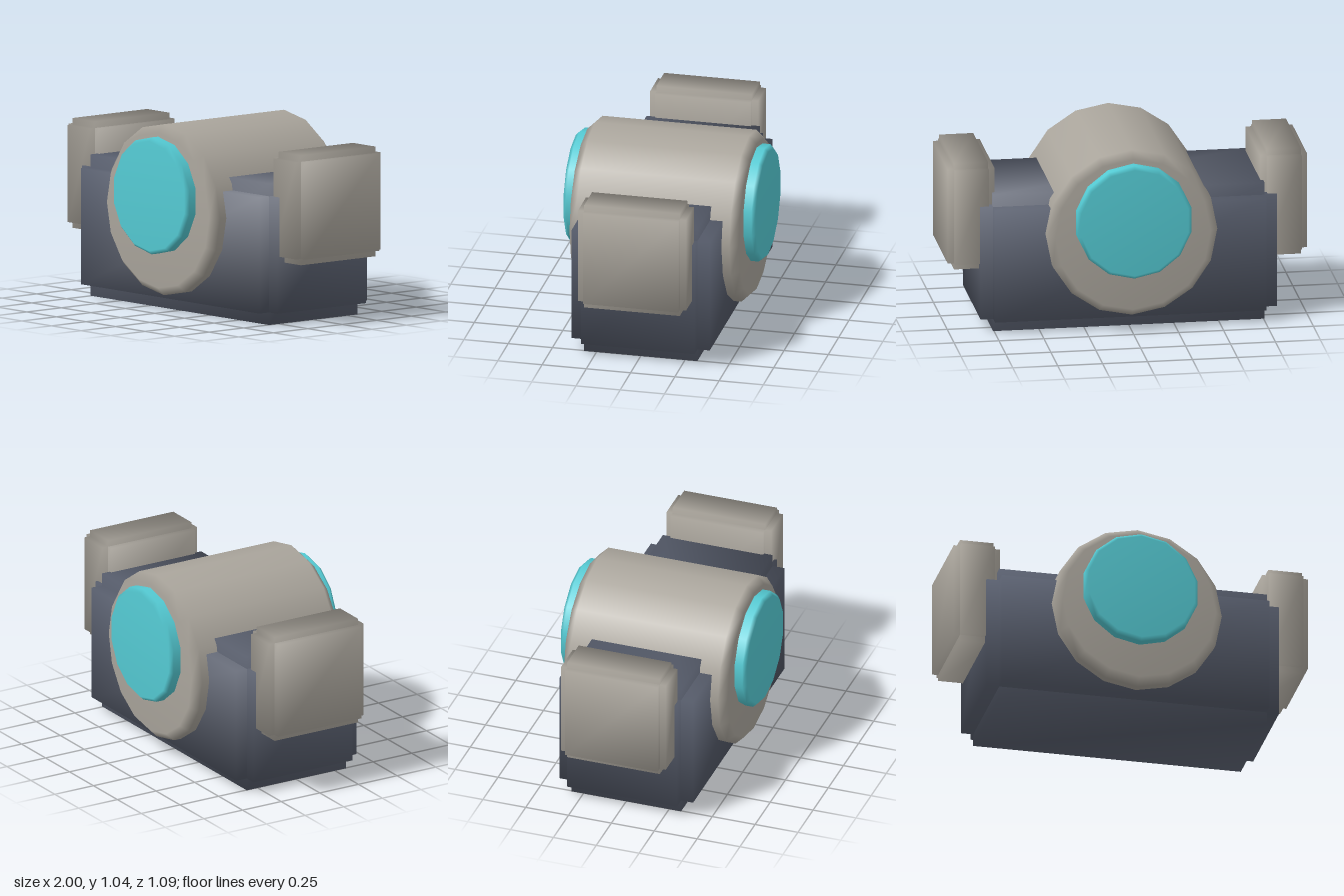
import * as THREE from 'three';
import { mergeVertices } from 'three/addons/utils/BufferGeometryUtils.js';

const gray = new THREE.MeshStandardMaterial({ color: 0xaaa59c });
gray.name = 'warm gray shell';
const slate = new THREE.MeshStandardMaterial({ color: 0x565c6b });
slate.name = 'dark slate';
const cyan = new THREE.MeshStandardMaterial({ color: 0x54cad3 });
cyan.name = 'cyan lens';

// Box with shared corners, so its normals blend softly over the edges
function softBox(w, h, d) {
  const box = new THREE.BoxGeometry(w, h, d);
  box.deleteAttribute('normal');
  box.deleteAttribute('uv');
  const geometry = mergeVertices(box);
  geometry.computeVertexNormals();
  return geometry;
}

// Block with stepped edges: three crossing boxes, each short of full size on two of its sides
function notchedBlock(name, w, h, d, step, material) {
  const group = new THREE.Group();
  group.name = name;
  const s = step * 2;
  const sizes = [[w, h - s, d - s], [w - s, h, d - s], [w - s, h - s, d]];
  sizes.forEach((size, i) => {
    const mesh = new THREE.Mesh(softBox(...size), material);
    mesh.name = name + ['Sides', 'TopAndBottom', 'FrontAndBack'][i];
    group.add(mesh);
  });
  return group;
}

// Drum along z with chamfered rims
function drum(name, radius, half, chamfer, sides, material) {
  const profile = [
    [0, -half], [radius - chamfer, -half], [radius, chamfer - half],
    [radius, half - chamfer], [radius - chamfer, half], [0, half],
  ].map(([r, y]) => new THREE.Vector2(r, y));
  const geometry = new THREE.LatheGeometry(profile, sides);
  geometry.rotateX(-Math.PI / 2);
  const mesh = new THREE.Mesh(geometry, material);
  mesh.name = name;
  return mesh;
}

export function createModel() {
  const model = new THREE.Group();
  model.name = 'drumPod';

  // Wide base block
  const base = notchedBlock('base', 1.65, 0.785, 0.78, 0.07, slate);
  base.position.y = 0.3925;
  model.add(base);

  // Central drum
  const body = drum('centralDrum', 0.475, 0.478, 0.043, 16, gray);
  body.position.y = 0.57;
  model.add(body);

  // Lens showing at both ends of the drum
  const lens = drum('lens', 0.325, 0.543, 0.02, 14, cyan);
  lens.position.y = 0.655;
  model.add(lens);

  // Side pods
  for (const side of [-1, 1]) {
    const pod = notchedBlock(side > 0 ? 'leftPod' : 'rightPod', 0.26, 0.61, 0.61, 0.035, gray);
    pod.position.set(side * 0.87, 0.655, 0);
    model.add(pod);
  }
  return model;
}
